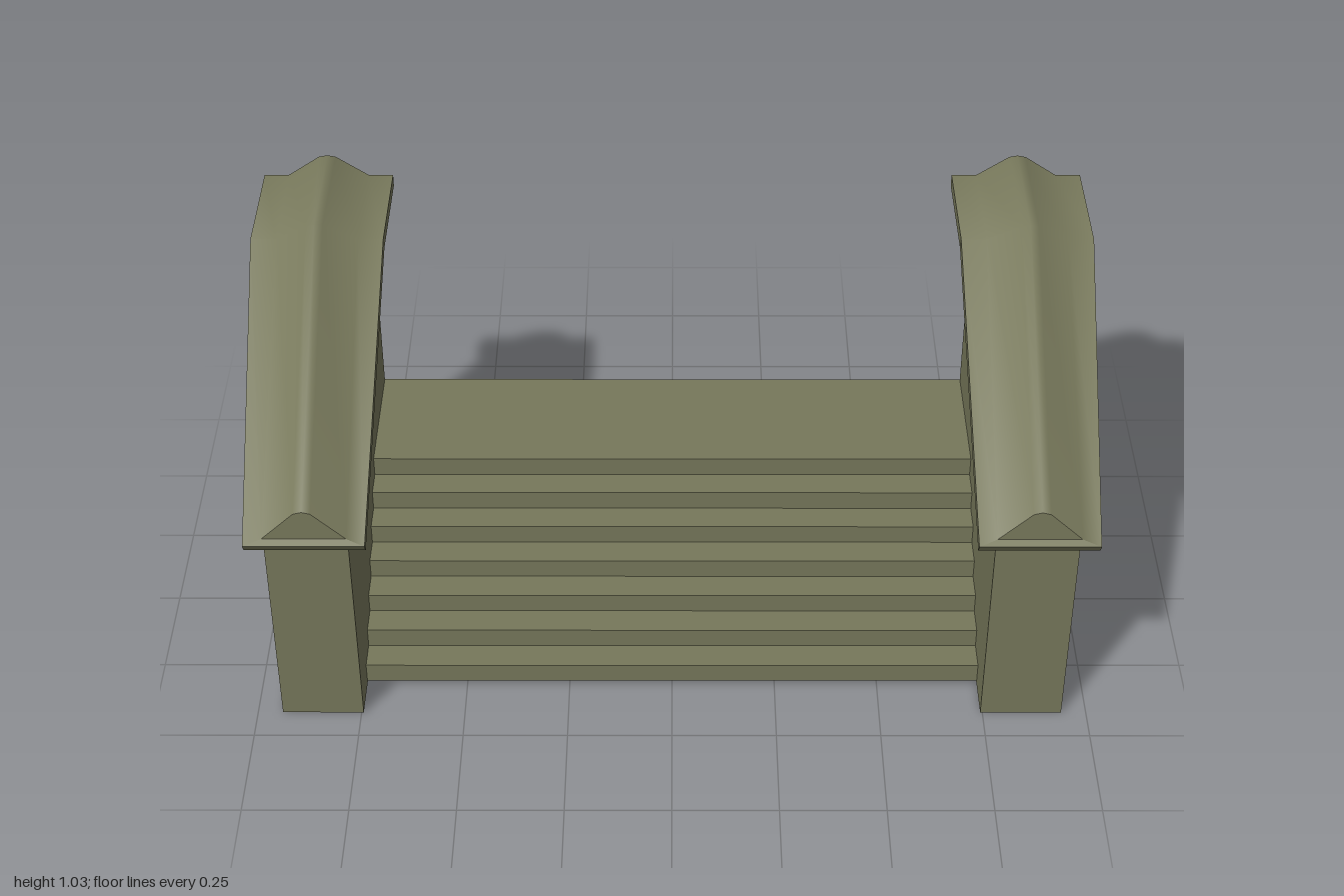
import * as THREE from 'three';

const material = new THREE.MeshStandardMaterial({ color: 0x77785b, side: THREE.DoubleSide });

// Sheet through equally long rows of [x, y, z] points
function sheet(name, rows, smooth = false) {
  const n = rows[0].length, index = [];
  for (let i = 0; i < rows.length - 1; i++) {
    for (let j = 0; j < n - 1; j++) {
      const a = i * n + j, c = a + n;
      index.push(a, a + 1, c, a + 1, c + 1, c);
    }
  }
  let geometry = new THREE.BufferGeometry();
  geometry.setAttribute('position', new THREE.Float32BufferAttribute(rows.flat(2), 3));
  geometry.setIndex(index);
  if (!smooth) geometry = geometry.toNonIndexed();
  geometry.computeVertexNormals();
  const mesh = new THREE.Mesh(geometry, material);
  mesh.name = name;
  return mesh;
}

// Stations from front to back: [z, y] along each edge of the coping, and its half width
const eaveTop = [[0.455, 0.55], [-0.17, 0.978], [-0.455, 0.978]];
const eaveBottom = [[0.44, 0.527], [-0.18, 0.947], [-0.455, 0.947]];
const ridgeBase = [[0.44, 0.56], [-0.17, 0.978], [-0.455, 0.978]];
const ridgeTop = [[0.437, 0.636], [-0.145, 1.034], [-0.455, 1.034]];
const halfWidth = [0.14, 0.1575, 0.1575];
const ridge = [[-0.0975, 0], [-0.02, 0.93], [0, 1], [0.02, 0.93], [0.0975, 0]]; // [x, share of height]
const wallHalf = 0.0975;

const at = (x, [z, y]) => [x, y, z];
const ridgePoint = (i, [x, h]) => [
  x,
  THREE.MathUtils.lerp(ridgeBase[i][1], ridgeTop[i][1], h),
  THREE.MathUtils.lerp(ridgeBase[i][0], ridgeTop[i][0], h),
];

function createCoping() {
  const coping = new THREE.Group();
  coping.name = 'coping';
  const stations = [0, 1, 2];

  // Ridged top with flat eaves
  coping.add(sheet('copingTop', stations.map(i => [
    at(-halfWidth[i], eaveTop[i]),
    ...ridge.map(p => ridgePoint(i, p)),
    at(halfWidth[i], eaveTop[i]),
  ]), true));

  // Front end: gable, ledge, lip and soffit
  const w = halfWidth[0];
  coping.add(sheet('ridgeGable', [
    ridge.map(([x]) => ridgePoint(0, [x, 0])),
    ridge.map(p => ridgePoint(0, p)),
  ]));
  coping.add(sheet('frontLedge', [
    [at(-w, eaveTop[0]), at(w, eaveTop[0])],
    [at(-wallHalf, ridgeBase[0]), at(wallHalf, ridgeBase[0])],
  ]));
  coping.add(sheet('frontLip', [
    [at(-w, eaveBottom[0]), at(w, eaveBottom[0])],
    [at(-w, eaveTop[0]), at(w, eaveTop[0])],
  ]));
  coping.add(sheet('frontSoffit', [
    [at(w, eaveBottom[0]), at(-w, eaveBottom[0])],
    [[w, 0.547, 0.41], [-w, 0.547, 0.41]],
  ]));

  // Side edges and the soffits that reach just inside the wall
  for (const s of [-1, 1]) {
    const edge = stations.map(i => [at(s * halfWidth[i], eaveTop[i]), at(s * halfWidth[i], eaveBottom[i])]);
    const soffit = stations.map(i => [at(s * halfWidth[i], eaveBottom[i]), at(s * 0.08, eaveBottom[i])]);
    if (s < 0) [...edge, ...soffit].forEach(row => row.reverse());
    coping.add(sheet('eaveEdge', edge), sheet('eaveSoffit', soffit));
  }
  return coping;
}

function createWall() {
  const wall = new THREE.Group();
  wall.name = 'wall';

  // Side panels, drawn in (-z, y) and turned to face outwards
  const outline = new THREE.Shape([
    [-0.42, 0], [0.455, 0], [0.455, 0.947], [0.18, 0.947], [-0.42, 0.54],
  ].map(p => new THREE.Vector2(...p)));
  for (const s of [-1, 1]) {
    const geometry = new THREE.ShapeGeometry(outline);
    if (s < 0) geometry.scale(-1, 1, 1).index.array.reverse();
    const panel = new THREE.Mesh(geometry, material);
    panel.name = 'wallSide';
    panel.rotation.y = s * Math.PI / 2;
    panel.position.x = s * wallHalf;
    wall.add(panel);
  }
  wall.add(sheet('wallFront', [
    [[-wallHalf, 0, 0.42], [wallHalf, 0, 0.42]],
    [[-wallHalf, 0.54, 0.42], [wallHalf, 0.54, 0.42]],
  ]));
  wall.add(createCoping());
  return wall;
}

// Open sheet of seven risers and treads ending in a landing
function createSteps() {
  const count = 7, half = 0.765, profile = [];
  for (let i = 0; i < count; i++) {
    const z = 0.315 - i * 0.0725;
    profile.push([z, 0.008 + i * 0.0497], [z, 0.008 + (i + 1) * 0.0497]);
  }
  profile.push([-0.455, 0.356]);
  return sheet('steps', profile.map(p => [at(-half, p), at(half, p)]));
}

export function createModel() {
  const model = new THREE.Group();
  model.name = 'entranceSteps';
  model.add(createSteps());
  for (const s of [-1, 1]) {
    const wall = createWall();
    wall.name = s > 0 ? 'leftWall' : 'rightWall';
    wall.position.x = s * 0.8425;
    model.add(wall);
  }
  return model;
}
